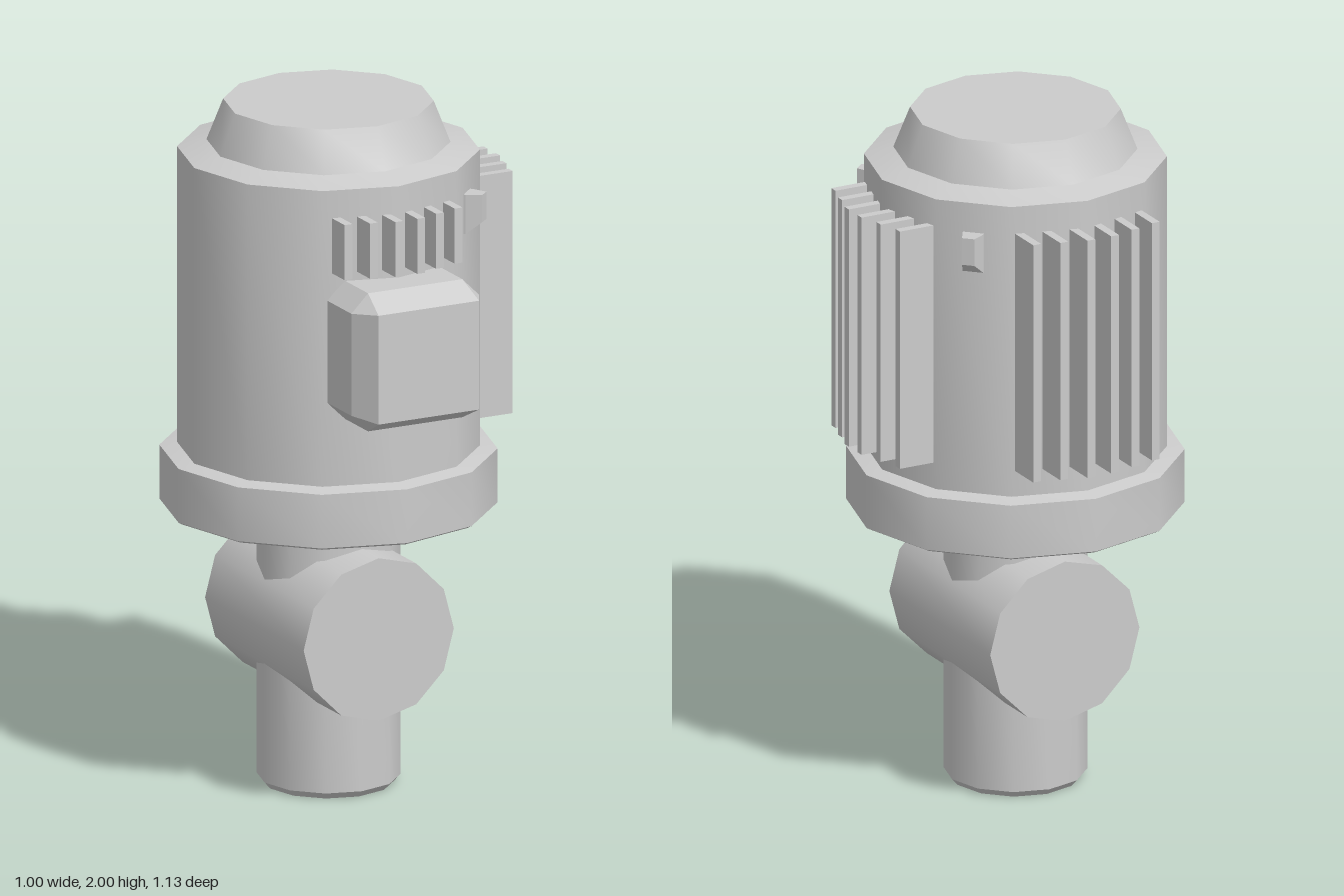
import * as THREE from 'three';
import { toCreasedNormals } from 'three/addons/utils/BufferGeometryUtils.js';
import { ConvexGeometry } from 'three/addons/geometries/ConvexGeometry.js';

const SIDES = 12;
const material = new THREE.MeshStandardMaterial({ color: 0xcccccc });

function addMesh(parent, name, geometry) {
  const mesh = new THREE.Mesh(geometry, material);
  mesh.name = name;
  parent.add(mesh);
  return mesh;
}

// Turned part from [radius, height] pairs, bottom to top
function turned(profile) {
  const points = profile.map(([r, y]) => new THREE.Vector2(r, y));
  return toCreasedNormals(new THREE.LatheGeometry(points, SIDES), 0.6);
}

const hull = (points) => new ConvexGeometry(points.map((p) => new THREE.Vector3(...p)));

// Six cooling fins facing +z, longest in the middle, turned to the given angle
function addFins(parent, name, { angle, bottom, spacing, reach }) {
  const group = new THREE.Group();
  group.name = name;
  group.rotation.y = angle;
  const top = 1.777, inner = 0.35;
  for (let i = 0; i < 6; i++) {
    const offset = i - 2.5;
    const outer = reach - 0.02 * (Math.abs(offset) - 0.5);
    const fin = addMesh(group, 'coolingFin', new THREE.BoxGeometry(0.025, top - bottom, outer - inner));
    fin.position.set(offset * spacing, (top + bottom) / 2, (inner + outer) / 2);
  }
  parent.add(group);
}

// Small wedge-shaped lifting lug facing +z
function lugGeometry() {
  const points = [];
  for (const s of [-1, 1]) {
    points.push([s * 0.031, 1.77, 0.4], [s * 0.031, 1.655, 0.4]);
    points.push([s * 0.031, 1.77, 0.42], [s * 0.031, 1.655, 0.42]);
    points.push([s * 0.018, 1.77, 0.465], [s * 0.018, 1.69, 0.465]);
  }
  return hull(points);
}

// Terminal box: octagonal body narrowing to a square front
function terminalBoxGeometry() {
  const h = 0.203, cut = 0.15, front = 0.16;
  const points = [];
  for (const sx of [-1, 1]) {
    for (const sy of [-1, 1]) {
      for (const z of [0.38, 0.525]) {
        points.push([sx * h, sy * cut, z], [sx * cut, sy * h, z]);
      }
      points.push([sx * front, sy * front, 0.608]);
    }
  }
  return hull(points);
}

export function createModel() {
  const model = new THREE.Group();
  model.name = 'motor';
  // Everything is built around the motor's axis, which sits slightly off centre
  const motor = new THREE.Group();
  motor.name = 'motorAssembly';
  motor.position.set(-0.025, 0, -0.043);
  model.add(motor);

  // Main round parts
  addMesh(motor, 'shaft', turned([[0, 0], [0.185, 0], [0.203, 0.02], [0.203, 0.83]]));
  addMesh(motor, 'flange', turned([[0, 0.815], [0.465, 0.815], [0.477, 0.822], [0.477, 0.98], [0.42, 0.99]]));
  addMesh(motor, 'housing', turned([[0.427, 0.98], [0.427, 1.858], [0.344, 1.88]]));
  addMesh(motor, 'cap', turned([[0.344, 1.88], [0.297, 2], [0, 2]]));

  // Cross pipe through the shaft
  const pipe = addMesh(motor, 'crossPipe',
    toCreasedNormals(new THREE.CylinderGeometry(0.239, 0.239, 0.597, SIDES), 0.6));
  pipe.rotation.x = Math.PI / 2;
  pipe.position.set(0, 0.493, 0.006);

  // Terminal box on the front
  addMesh(motor, 'terminalBox', terminalBoxGeometry()).position.y = 1.387;

  // Fins on the front, left and back
  addFins(motor, 'frontFins', { angle: 0, bottom: 1.615, spacing: 0.07, reach: 0.495 });
  addFins(motor, 'leftFins', { angle: Math.PI / 2, bottom: 1.065, spacing: 0.076, reach: 0.52 });
  addFins(motor, 'backFins', { angle: Math.PI, bottom: 1.065, spacing: 0.076, reach: 0.52 });

  // Lugs on the two left diagonals
  for (const [name, angle] of [['frontLug', Math.PI / 4 - 0.035], ['backLug', 3 * Math.PI / 4]]) {
    addMesh(motor, name, lugGeometry()).rotation.y = angle;
  }
  return model;
}
